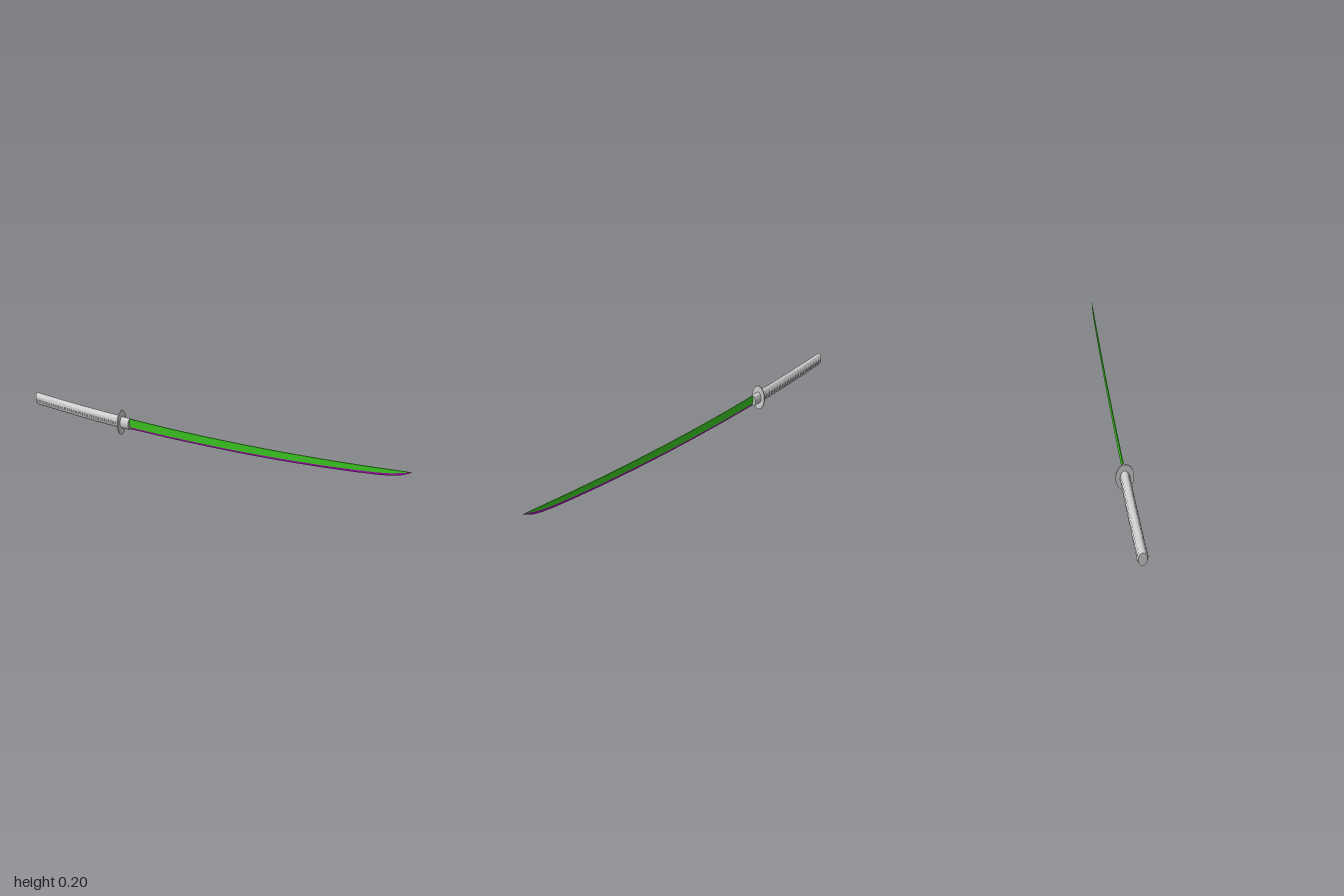
import * as THREE from 'three';
import { toCreasedNormals } from 'three/addons/utils/BufferGeometryUtils.js';

const grey = new THREE.MeshStandardMaterial({ color: 0xcccccc });
const green = new THREE.MeshStandardMaterial({ color: 0x3cc822 });
const purple = new THREE.MeshStandardMaterial({ color: 0xaa10b4 });

// Joins cross-sections running along +x; each ring turns from +y towards +z.
function loft(rings, crease) {
  const n = rings[0].length, last = (rings.length - 1) * n, index = [];
  for (let i = 0; i < rings.length - 1; i++) {
    for (let j = 0; j < n; j++) {
      const a = i * n + j, b = i * n + (j + 1) % n;
      index.push(a, b, a + n, b, b + n, a + n);
    }
  }
  for (let j = 1; j < n - 1; j++) {
    index.push(0, j + 1, j, last, last + j, last + j + 1);
  }
  const geometry = new THREE.BufferGeometry();
  geometry.setAttribute('position', new THREE.Float32BufferAttribute(rings.flat(2), 3));
  geometry.setIndex(index);
  return toCreasedNormals(geometry, crease);
}

function ellipse(x, y, ry, rz, sides) {
  return Array.from({ length: sides }, (_, j) => {
    const t = j / sides * Math.PI * 2;
    return [x, y + ry * Math.cos(t), rz * Math.sin(t)];
  });
}

export function createModel() {
  const group = new THREE.Group();
  const add = (name, geometry, material) => {
    const mesh = new THREE.Mesh(geometry, material);
    mesh.name = name;
    group.add(mesh);
  };

  // Curved grip, its wrapping bulging sideways in regular ridges
  const ridges = 23, steps = ridges * 4, grip = [];
  for (let i = 0; i <= steps; i++) {
    const x = -1 + 0.52 * i / steps;
    const y = 0.075 + 0.055 * (x + 0.48) ** 2;
    const bulge = Math.sin(i / 4 * Math.PI) ** 2;
    grip.push(ellipse(x, y, 0.035, 0.0185 + 0.0045 * bulge, 24));
  }
  add('grip', loft(grip, 0.7), grey);

  // Thin oval guard
  add('guard', loft([-0.483, -0.477].map(x => ellipse(x, 0.073, 0.072, 0.042, 20)), 0.5), grey);

  // Collar between guard and blade
  add('collar', loft([-0.477, -0.43].map(x => ellipse(x, 0.074, 0.033, 0.021, 24)), 0.5), grey);

  // Blade stations: x, full depth, depth of the cutting edge
  const stations = [
    [-0.43, 0.062, 0.012], [-0.2, 0.059, 0.012], [0, 0.056, 0.012], [0.2, 0.054, 0.012],
    [0.4, 0.051, 0.013], [0.6, 0.047, 0.013], [0.75, 0.043, 0.014], [0.85, 0.039, 0.014],
    [0.91, 0.034, 0.015], [0.95, 0.026, 0.015], [0.98, 0.013, 0.009], [1, 0.0006, 0.0003],
  ];
  const body = [], edge = [];
  for (const [x, depth, edgeDepth] of stations) {
    const spine = 0.107 + 0.048 * (x + 0.43) ** 2;
    const foot = spine - depth, seam = foot + edgeDepth;
    const w = 0.003 * Math.min(1, depth / 0.03);
    body.push([[x, spine, -w * 0.75], [x, spine, w * 0.75], [x, seam, w], [x, seam, -w]]);
    edge.push([[x, seam, -w], [x, seam, w], [x, foot, 0]]);
  }
  add('bladeBody', loft(body, 0.5), green);
  add('cuttingEdge', loft(edge, 0.5), purple);

  return group;
}
